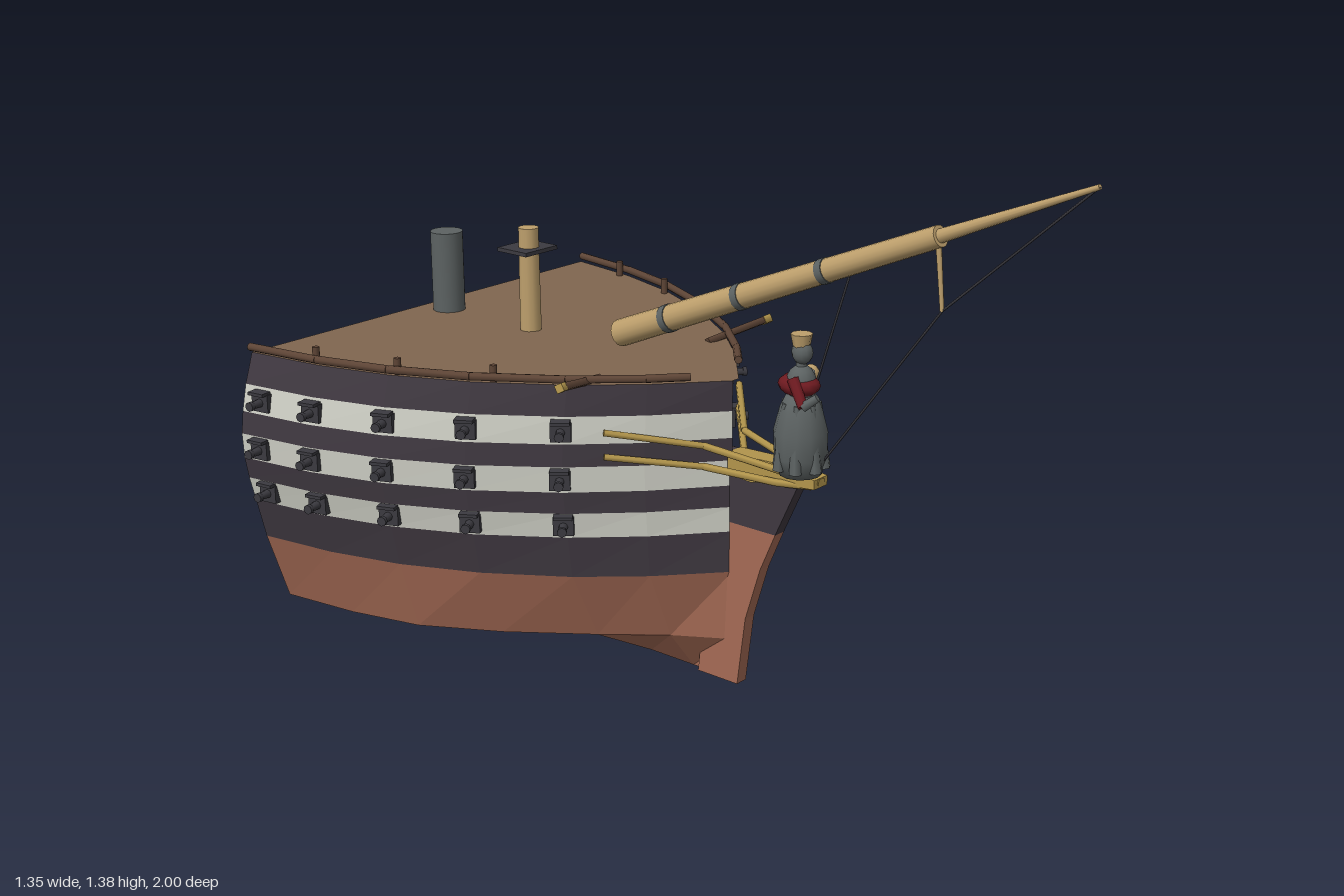
import * as THREE from 'three';

const mat = (name, color) => {
  const m = new THREE.MeshStandardMaterial({ color });
  m.name = name;
  return m;
};

export function createModel() {
  const M = {
    copper: mat('copper', 0xa56b55), black: mat('blackPaint', 0x3f3840), white: mat('whitePaint', 0xcdcec4),
    deck: mat('deckBrown', 0x80664f), wood: mat('darkWood', 0x5e4536), spar: mat('sparTan', 0xbd9f6c),
    gold: mat('gold', 0xb2954c), iron: mat('iron', 0x3b3a40), grey: mat('grey', 0x5c6262), red: mat('red', 0x6e1a20),
  };
  const root = new THREE.Group();
  const V = (x, y, z) => new THREE.Vector3(x, y, z);
  const add = (name, geo, material, parent = root, x = 0, y = 0, z = 0) => {
    const m = new THREE.Mesh(geo, material);
    m.name = name;
    m.position.set(x, y, z);
    parent.add(m);
    return m;
  };
  // tapered rod from point a to point b
  const rod = (name, a, b, ra, rb, material, sides = 12, parent = root) => {
    const m = add(name, new THREE.CylinderGeometry(rb, ra, a.distanceTo(b), sides), material, parent);
    m.position.copy(a).lerp(b, 0.5);
    m.quaternion.setFromUnitVectors(V(0, 1, 0), b.clone().sub(a).normalize());
    return m;
  };
  // plate with a profile in z and y, centred on x = 0
  const plate = (name, pts, thick, material) => {
    const s = new THREE.Shape(pts.map(([z, y]) => new THREE.Vector2(z, y)));
    const g = new THREE.ExtrudeGeometry(s, { depth: thick, bevelEnabled: false });
    g.translate(0, 0, -thick / 2).rotateY(-Math.PI / 2);
    return add(name, g, material);
  };
  const interp = (table, v) => {
    let i = 0;
    while (i < table.length - 2 && v > table[i + 1][0]) i++;
    const [a, b] = [table[i], table[i + 1]];
    return a[1] + (b[1] - a[1]) * (v - a[0]) / (b[0] - a[0]);
  };

  // Hull: half widths along z, width factors along y
  const outline = [[-1, 0.635], [-0.79, 0.6], [-0.6, 0.54], [-0.41, 0.445], [-0.22, 0.31], [-0.08, 0.175], [0.055, 0.012]];
  const levels = [[0, 0], [0.11, 0.82], [0.29, 0.915], [0.395, 0.955], [0.458, 0.98], [0.513, 0.995],
    [0.577, 1], [0.633, 0.988], [0.7, 0.965], [0.775, 0.925]];
  const bands = ['copper', 'copper', 'black', 'white', 'black', 'white', 'black', 'white', 'black'];
  const fine = [[-1, 1], [-0.6, 1], [-0.41, 0.92], [-0.22, 0.78], [-0.08, 0.6], [0.055, 0.5]];
  const half = (z, y) => interp(outline, z) * interp(levels, y) * (y < 0.2 ? interp(fine, z) : 1);
  const faces = { copper: [], black: [], white: [], deck: [] };
  const quad = (k, a, b, c, d) => [a, b, c, a, c, d].forEach((p) => faces[k].push(...p));
  for (let i = 0; i < outline.length - 1; i++) {
    const zb = outline[i][0], zf = outline[i + 1][0];
    bands.forEach((k, j) => {
      const y0 = levels[j][0], y1 = levels[j + 1][0];
      const P = (s, y, z) => [s * half(z, y), y, z];
      quad(k, P(1, y0, zf), P(1, y0, zb), P(1, y1, zb), P(1, y1, zf));
      quad(k, P(-1, y1, zf), P(-1, y1, zb), P(-1, y0, zb), P(-1, y0, zf));
      if (i === 0) quad('deck', P(1, y0, zb), P(-1, y0, zb), P(-1, y1, zb), P(1, y1, zb));
    });
    const wf = half(zf, 0.775), wb = half(zb, 0.775);
    quad('deck', [-wf, 0.775, zf], [wf, 0.775, zf], [wb, 0.775, zb], [-wb, 0.775, zb]);
  }
  const names = { copper: 'lowerHull', black: 'hullBlackBands', white: 'hullWhiteBands', deck: 'deckAndSternBulkhead' };
  for (const k in faces) {
    const g = new THREE.BufferGeometry();
    g.setAttribute('position', new THREE.Float32BufferAttribute(faces[k], 3));
    g.computeVertexNormals();
    add(names[k], g, M[k]);
  }

  // Stem and beakhead
  plate('lowerStem', [[-0.05, 0], [0.075, 0], [0.1, 0.18], [0.145, 0.32], [0.19, 0.42], [0, 0.42]], 0.034, M.copper);
  plate('upperStem', [[0, 0.42], [0.19, 0.42], [0.257, 0.56], [0.05, 0.6], [0, 0.6]], 0.034, M.black);
  plate('beakhead', [[0.05, 0.545], [0.12, 0.54], [0.2, 0.555], [0.31, 0.565], [0.31, 0.588], [0.2, 0.605], [0.05, 0.6]], 0.05, M.gold);

  for (const s of [1, -1]) {
    const side = new THREE.Group();
    side.name = s > 0 ? 'leftSide' : 'rightSide';
    root.add(side);

    // Guns in three rows, each facing out of the hull
    for (const y of [0.665, 0.545, 0.428]) for (const z of [-0.225, -0.41, -0.595, -0.785, -0.94]) {
      const gun = new THREE.Group();
      gun.name = 'gun';
      const slope = (half(z + 0.04, y) - half(z - 0.04, y)) / 0.08;
      gun.position.set(s * half(z, y), y, z);
      gun.rotation.y = Math.atan2(s, -slope);
      side.add(gun);
      add('gunPort', new THREE.BoxGeometry(0.05, 0.046, 0.024), M.iron, gun);
      add('portLid', new THREE.BoxGeometry(0.046, 0.008, 0.03), M.iron, gun, 0, 0.025, 0.012);
      rod('barrel', V(0, 0, 0), V(0, 0, 0.045), 0.012, 0.009, M.iron, 8, gun);
      rod('muzzle', V(0, 0, 0.04), V(0, 0, 0.05), 0.012, 0.012, M.iron, 8, gun);
    }

    // Bulwark rail and pins
    const railZ = [-1, -0.79, -0.6, -0.41, -0.22, -0.08, -0.01];
    for (let i = 0; i < railZ.length - 1; i++) {
      const [a, b] = [railZ[i], railZ[i + 1]];
      rod('rail', V(s * (half(a, 0.775) + 0.005), 0.79, a), V(s * (half(b, 0.775) + 0.005), 0.79, b), 0.01, 0.01, M.wood, 8, side);
    }
    for (const z of [-0.81, -0.59, -0.375]) {
      const x = s * (half(z, 0.775) - 0.015);
      rod('railPost', V(x, 0.77, z), V(x, 0.815, z), 0.009, 0.009, M.wood, 8, side);
    }

    // Anchor beam with gilded end
    rod('anchorBeam', V(s * 0.2, 0.775, -0.2), V(s * 0.37, 0.803, -0.155), 0.012, 0.012, M.wood, 4, side);
    rod('anchorBeamCap', V(s * 0.365, 0.802, -0.156), V(s * 0.385, 0.805, -0.15), 0.014, 0.014, M.gold, 4, side);

    // Gilded head rails
    for (const path of [
      [V(0.25, 0.665, -0.14), V(0.075, 0.622, 0.02), V(0.03, 0.592, 0.22), V(0.005, 0.578, 0.31)],
      [V(0.25, 0.605, -0.14), V(0.075, 0.57, 0.02), V(0.03, 0.56, 0.2), V(0.01, 0.565, 0.29)],
    ]) for (let i = 0; i < 3; i++) {
      const [a, b] = [path[i], path[i + 1]].map((p) => V(s * p.x, p.y, p.z));
      rod('headRail', a, b, 0.009, 0.009, M.gold, 6, side);
    }
  }

  // Bowsprit, jib boom and iron bands
  const heel = V(0, 0.822, -0.31), cap = V(0, 1.21, 0.62), tip = V(0, 1.37, 1);
  rod('bowsprit', heel, cap, 0.034, 0.025, M.spar, 16);
  rod('jibBoom', cap, tip, 0.016, 0.006, M.spar, 12);
  for (const t of [0.17, 0.41, 0.67]) {
    const r = 0.036 - 0.009 * t;
    rod('sparBand', heel.clone().lerp(cap, t - 0.01), heel.clone().lerp(cap, t + 0.01), r, r, M.grey, 16);
  }
  const strut = V(0, 1.045, 0.63);
  rod('martingale', V(0, 1.2, 0.615), strut, 0.007, 0.005, M.spar, 8);
  rod('stay', tip, strut, 0.003, 0.003, M.iron, 5);
  rod('stay', strut, V(0, 0.59, 0.285), 0.003, 0.003, M.iron, 5);
  rod('stay', V(0, 1.08, 0.38), V(0, 0.59, 0.22), 0.003, 0.003, M.iron, 5);

  // Foremast stump with platform, and funnel
  rod('foremast', V(0, 0.77, -0.62), V(0, 1.04, -0.62), 0.028, 0.026, M.spar, 12);
  add('mastPlatform', new THREE.BoxGeometry(0.112, 0.01, 0.1), M.iron, root, 0, 0.985, -0.625);
  rod('funnel', V(0, 0.77, -0.92), V(0, 0.985, -0.92), 0.042, 0.042, M.grey, 20);

  // Figurehead
  const fig = new THREE.Group();
  fig.name = 'figurehead';
  fig.position.set(-0.02, 0, 0.265);
  root.add(fig);
  const skirt = [[0, 0.59], [0.05, 0.595], [0.062, 0.64], [0.064, 0.7], [0.05, 0.755], [0.036, 0.785], [0, 0.79]];
  add('skirt', new THREE.LatheGeometry(skirt.map(([r, y]) => new THREE.Vector2(r, y)), 12), M.grey, fig);
  const ball = (name, r, x, y, z, m, sx = 1, sy = 1, sz = 1) =>
    add(name, new THREE.SphereGeometry(r, 12, 8), m, fig, x, y, z).scale.set(sx, sy, sz);
  for (let i = 0; i < 7; i++) {
    const a = i * Math.PI * 2 / 7;
    rod('skirtFold', V(Math.cos(a) * 0.055, 0.61, Math.sin(a) * 0.055), V(Math.cos(a) * 0.04, 0.77, Math.sin(a) * 0.04), 0.016, 0.008, M.grey, 6, fig);
  }
  ball('torso', 0.04, 0, 0.815, 0, M.grey, 0.9, 1.1, 0.9);
  ball('mantle', 0.046, 0, 0.81, -0.006, M.red, 0.95, 0.6, 1.15);
  rod('neck', V(0, 0.84, 0), V(0, 0.875, 0), 0.014, 0.012, M.grey, 8, fig);
  ball('head', 0.026, 0, 0.888, 0.002, M.grey, 0.9, 1.1, 1);
  rod('crown', V(0, 0.902, 0), V(0, 0.932, 0), 0.02, 0.026, M.spar, 8, fig);
  rod('leftArm', V(0.03, 0.83, 0), V(0.08, 0.79, -0.03), 0.014, 0.011, M.grey, 8, fig);
  ball('orb', 0.02, 0.088, 0.81, -0.04, M.spar);
  rod('rightArm', V(-0.03, 0.83, 0), V(-0.045, 0.775, 0.04), 0.015, 0.012, M.red, 8, fig);
  rod('rightForearm', V(-0.045, 0.775, 0.04), V(-0.03, 0.8, 0.07), 0.012, 0.01, M.grey, 8, fig);
  return root;
}
